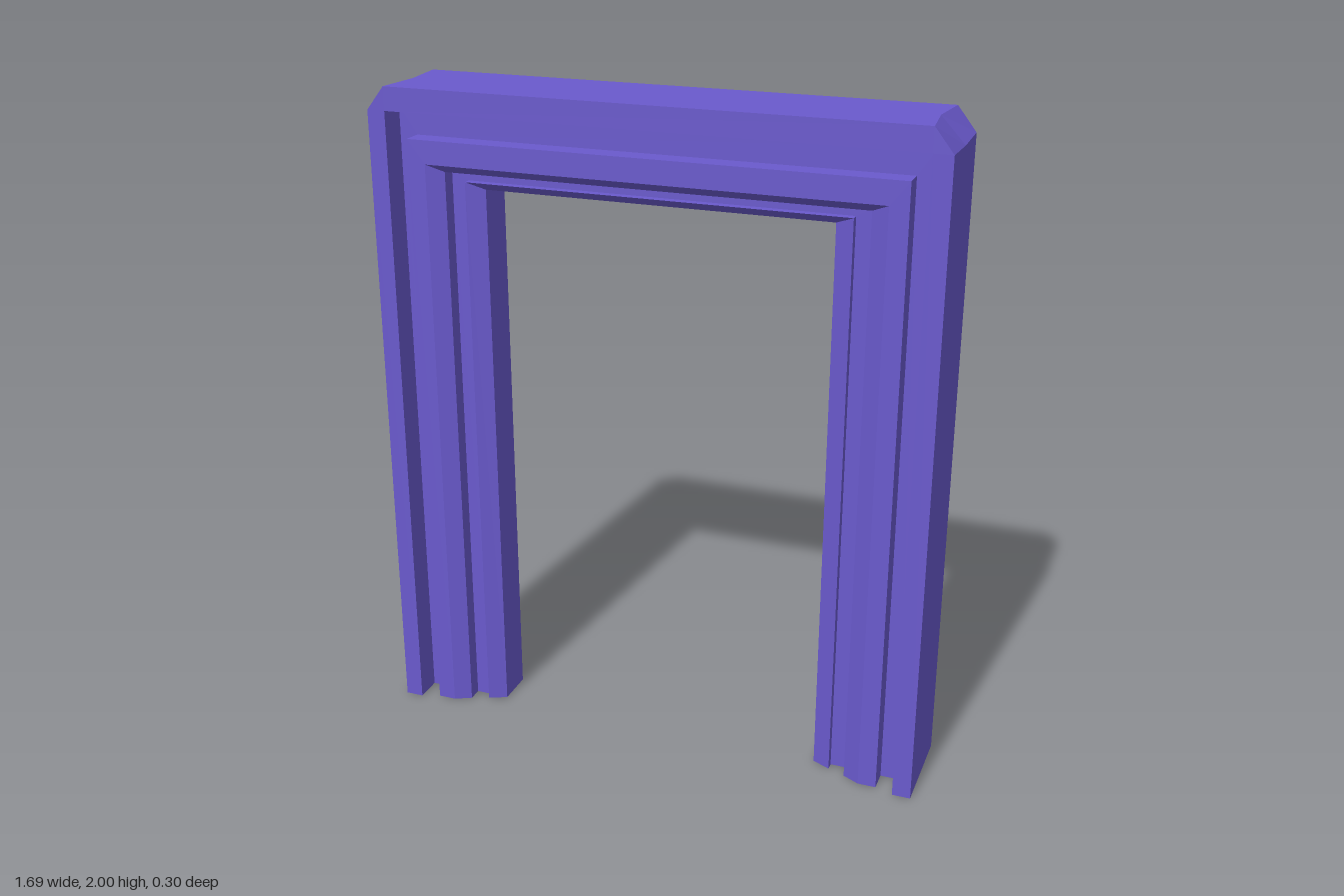
import * as THREE from 'three';

// Front half of the moulding section, outer edge to inner jamb:
// [half width, height of the lintel line, depth]
const HALF = [
  [0.845, 2.0, 0.15],
  [0.79, 1.93, 0.15],
  [0.79, 1.93, 0.065],
  [0.735, 1.85, 0.065],
  [0.735, 1.85, 0.13],
  [0.68, 1.78, 0.13],
  [0.63, 1.757, 0.105],
  [0.63, 1.757, 0.06],
  [0.577, 1.727, 0.06],
  [0.577, 1.727, 0.085],
  [0.523, 1.704, 0.06],
];

// Closed section: front half, mirrored back half, then the outer mid line
const SECTION = [
  ...HALF,
  ...HALF.slice().reverse().map(([x, y, z]) => [x, y, -z]),
  [0.845, 2.0, 0],
];

// The six stations a section point passes; outer points get a cut corner
function stations([x, y, z]) {
  const outer = x > 0.84;
  const cutX = !outer ? 0 : z === 0 ? 0.07 : 0.055;
  const cutY = !outer ? 0 : z === 0 ? 0.075 : 0.07;
  const side = [[x, 0], [x, y - cutY], [x - cutX, y]];
  const mirrored = side.slice().reverse().map(([px, py]) => [-px, py]);
  return [...side, ...mirrored].map(([px, py]) => new THREE.Vector3(px, py, z));
}

// Skin between two stations of the sweep
function sweep(name, from, to, material) {
  const lines = SECTION.map(stations);
  const points = [];
  const triangle = (a, b, c) => {
    const area = b.clone().sub(a).cross(c.clone().sub(a)).length();
    if (area > 1e-7) points.push(a, b, c);
  };
  for (let s = from; s < to; s++) {
    lines.forEach((line, j) => {
      const next = lines[(j + 1) % lines.length];
      triangle(line[s], line[s + 1], next[s + 1]);
      triangle(line[s], next[s + 1], next[s]);
    });
  }
  const geometry = new THREE.BufferGeometry().setFromPoints(points);
  geometry.computeVertexNormals();
  const mesh = new THREE.Mesh(geometry, material);
  mesh.name = name;
  return mesh;
}

export function createModel() {
  const group = new THREE.Group();
  group.name = 'doorFrame';
  // Hollow moulding, open at the feet
  const material = new THREE.MeshStandardMaterial({
    color: 0x6a5acd, flatShading: true, side: THREE.DoubleSide,
  });
  group.add(
    sweep('leftJamb', 0, 1, material),
    sweep('lintel', 1, 4, material),
    sweep('rightJamb', 4, 5, material),
  );
  return group;
}
